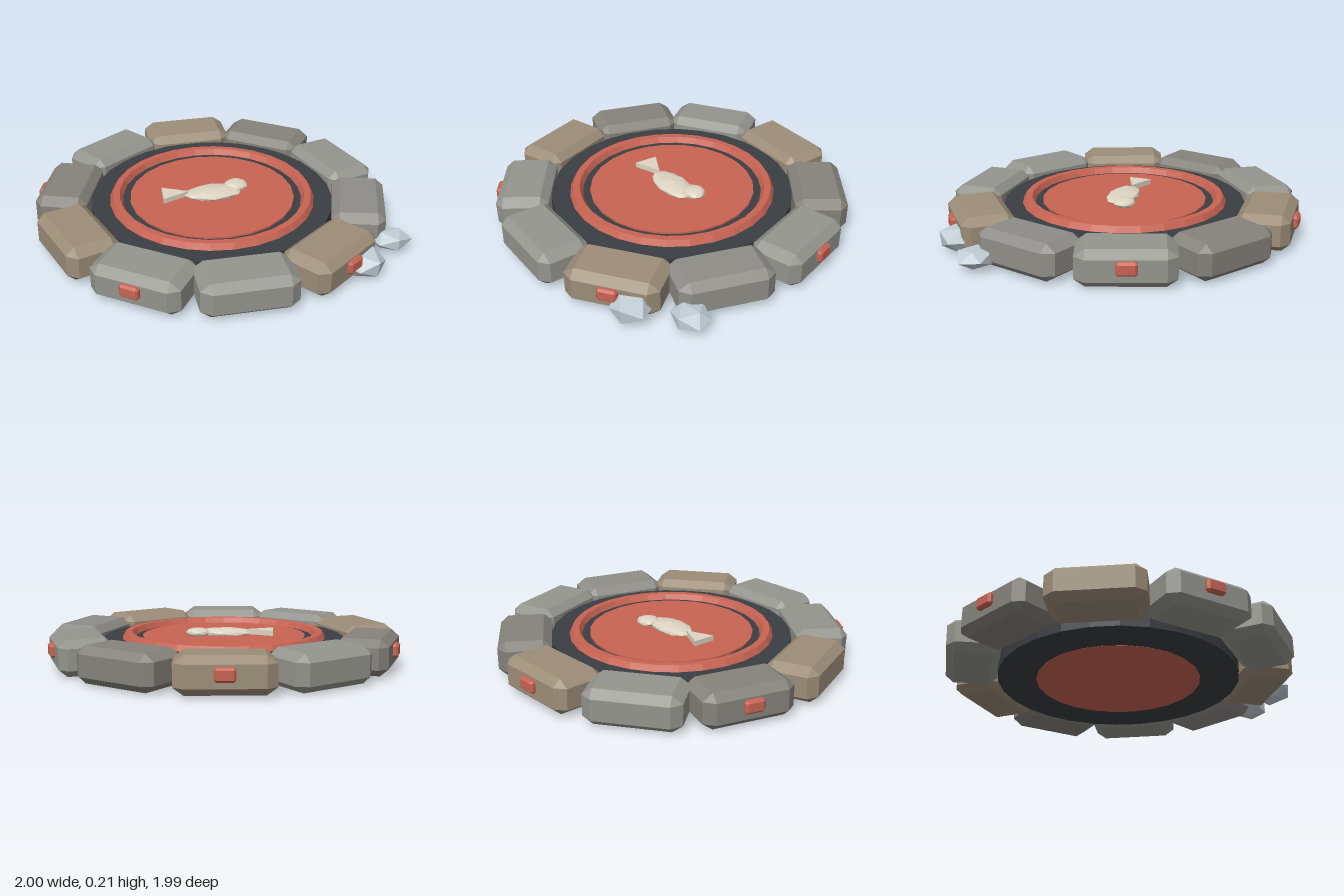
import * as THREE from 'three';
import { ConvexGeometry } from 'three/addons/geometries/ConvexGeometry.js';

const material = (color) => new THREE.MeshStandardMaterial({ color, flatShading: true });
const RED = material(0xc86453);
const DARK = material(0x3a3d42);
const CREAM = material(0xddd4c2);
const ICE = material(0xc0ccd4);
const TAN = material(0x9c8d78);
const GREYS = [0x95958f, 0x86837c, 0x8f8d88].map(material);

function addMesh(parent, name, geometry, mat, x = 0, y = 0, z = 0) {
  const mesh = new THREE.Mesh(geometry, mat);
  mesh.name = name;
  mesh.position.set(x, y, z);
  parent.add(mesh);
  return mesh;
}

// Box with every edge and corner cut: half sizes h, cut widths c.
function chamferedBox(h, c) {
  const points = [];
  for (const sx of [-1, 1]) for (const sy of [-1, 1]) for (const sz of [-1, 1]) {
    for (let axis = 0; axis < 3; axis++) {
      const p = h.map((v, i) => (i === axis ? v : v - c[i]));
      points.push(new THREE.Vector3(p[0] * sx, p[1] * sy, p[2] * sz));
    }
  }
  return new ConvexGeometry(points);
}

// Squashed faceted lump, roughened by a rule of each corner's position.
function lump(rx, ry, rz, detail, rough, phase) {
  const geometry = new THREE.IcosahedronGeometry(1, detail);
  const pos = geometry.attributes.position;
  for (let i = 0; i < pos.count; i++) {
    const x = pos.getX(i), y = pos.getY(i), z = pos.getZ(i);
    const k = 1 + rough * Math.sin(5 * x + 7 * y + 3 * z + phase);
    pos.setXYZ(i, x * k * rx, y * k * ry, z * k * rz);
  }
  geometry.computeVertexNormals();
  return geometry;
}

export function createModel() {
  const model = new THREE.Group();
  model.name = 'stoneRingPlate';

  const ring = new THREE.Group();
  ring.name = 'ring';
  ring.position.set(-0.005, 0, 0.006);
  model.add(ring);

  // Base slab, inlaid disc and raised rim
  addMesh(ring, 'baseSlab', new THREE.CylinderGeometry(0.69, 0.69, 0.15, 28), DARK, 0, 0.09, 0);
  addMesh(ring, 'inlaidDisc', new THREE.CylinderGeometry(0.47, 0.47, 0.161, 24), RED, 0, 0.0945, 0);
  const rim = addMesh(ring, 'raisedRim', new THREE.TorusGeometry(0.548, 0.037, 6, 28), RED, 0, 0.166, 0);
  rim.rotation.x = -Math.PI / 2;

  // Ten border stones, every second one carrying a clasp on its outer face
  const stone = chamferedBox([0.255, 0.099, 0.148], [0.055, 0.04, 0.045]);
  const clasp = chamferedBox([0.055, 0.036, 0.022], [0.012, 0.012, 0.012]);
  for (let i = 0; i < 10; i++) {
    const slot = new THREE.Group();
    slot.name = 'borderSegment';
    slot.rotation.y = (i * Math.PI) / 5;
    ring.add(slot);
    const mat = [1, 5, 8].includes(i) ? TAN : GREYS[i % 3];
    const block = addMesh(slot, 'borderStone', stone, mat, 0, 0.12, 0.832);
    block.rotation.x = 0.025 * Math.sin(i * 2.3);
    block.rotation.y = 0.02 * Math.sin(i * 1.7);
    if (i % 2) addMesh(slot, 'clasp', clasp, RED, 0, 0.135, 0.985);
  }

  // Low relief animal figure: body, head and fanned tail
  const figure = new THREE.Group();
  figure.name = 'reliefFigure';
  figure.position.y = 0.185;
  model.add(figure);
  addMesh(figure, 'body', lump(0.165, 0.027, 0.09, 1, 0.04, 1), CREAM, 0, 0, 0.008);
  addMesh(figure, 'head', lump(0.068, 0.027, 0.065, 1, 0.03, 2), CREAM, 0.145, 0.008, -0.04);
  const fan = new THREE.Shape([[-0.14, 0], [-0.295, -0.062], [-0.285, 0.072]].map((p) => new THREE.Vector2(...p)));
  const tail = addMesh(figure, 'tail', new THREE.ExtrudeGeometry(fan, { depth: 0.03, bevelEnabled: false }), CREAM, 0, -0.01, 0);
  tail.rotation.x = -Math.PI / 2;

  // Two pale ice chunks beside the front left stones
  const large = addMesh(model, 'iceChunkLarge', lump(0.12, 0.082, 0.125, 0, 0.08, 0.4), ICE, 0.66, 0.083, 0.72);
  large.rotation.y = 0.5;
  const small = addMesh(model, 'iceChunkSmall', lump(0.118, 0.058, 0.1, 0, 0.08, 2), ICE, 0.885, 0.08, 0.52);
  small.rotation.y = 0.2;

  return model;
}
